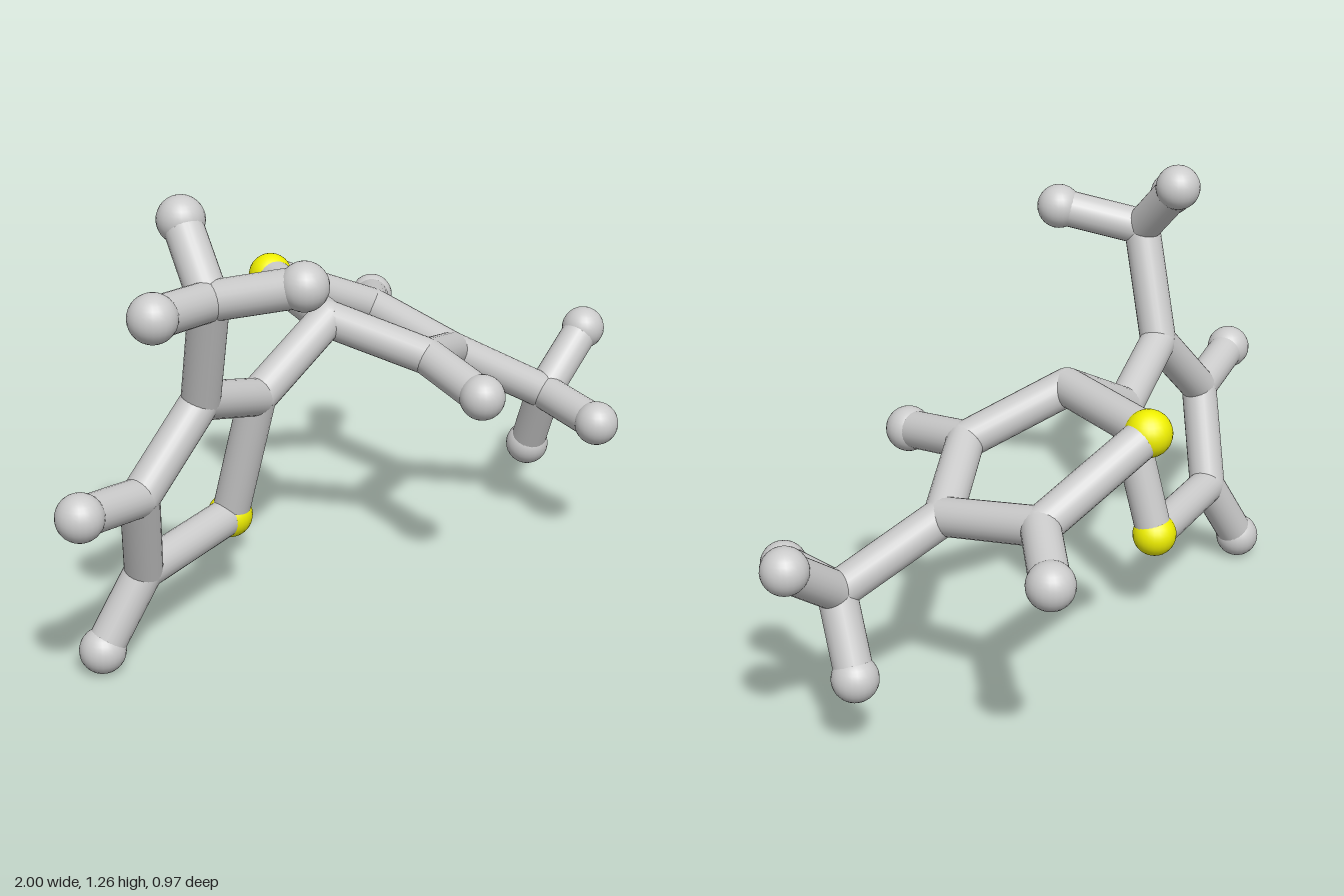
import * as THREE from 'three';

const STICK = 0.051, BALL = 0.062;

// Atom centres; the first letter gives the element (A = left ring side, B = right ring side)
const atoms = {
  // upright ring
  S_A: [-0.23, 0.275, -0.17], C_A2: [-0.225, 0.645, -0.07], C_A3: [-0.5, 0.735, -0.017],
  C_A4: [-0.7, 0.53, -0.045], C_A5: [-0.61, 0.265, -0.13],
  H_A4: [-0.938, 0.57, -0.013], H_A5: [-0.725, 0.065, -0.175],
  // methyl group of the upright ring
  C_AM: [-0.565, 1.04, 0.08], H_AM1: [-0.497, 1.2, -0.072],
  H_AM2: [-0.8, 1.07, 0.117], H_AM3: [-0.457, 1.095, 0.29],
  // flatter ring
  S_B: [0.207, 0.8, -0.395], C_B2: [0.045, 0.793, -0.053], C_B3: [0.245, 0.67, 0.137],
  C_B4: [0.512, 0.585, 0.025], C_B5: [0.53, 0.645, -0.28],
  H_B3: [0.185, 0.627, 0.366], H_B5: [0.705, 0.6, -0.422],
  // methyl group of the flatter ring
  C_BM: [0.742, 0.427, 0.193], H_BM1: [0.938, 0.57, 0.193],
  H_BM2: [0.67, 0.41, 0.422], H_BM3: [0.79, 0.225, 0.108],
};

// Chains of bonded atoms
const chains = [
  ['S_A', 'C_A2', 'C_A3', 'C_A4', 'C_A5', 'S_A'],
  ['S_B', 'C_B2', 'C_B3', 'C_B4', 'C_B5', 'S_B'],
  ['C_A2', 'C_B2'],
  ['C_A4', 'H_A4'], ['C_A5', 'H_A5'], ['C_B3', 'H_B3'], ['C_B5', 'H_B5'],
  ['C_A3', 'C_AM', 'H_AM1'], ['H_AM2', 'C_AM', 'H_AM3'],
  ['C_B4', 'C_BM', 'H_BM1'], ['H_BM2', 'C_BM', 'H_BM3'],
];

export function createModel() {
  const model = new THREE.Group();
  model.name = 'molecule';
  const grey = new THREE.MeshStandardMaterial({ color: 0xcccccc });
  const yellow = new THREE.MeshStandardMaterial({ color: 0xf0f000 });

  // Atoms: carbon only rounds off the joints, the others are larger balls
  const joint = new THREE.SphereGeometry(STICK, 24, 16);
  const ball = new THREE.SphereGeometry(BALL, 24, 16);
  const names = { C: 'carbonJoint', H: 'hydrogenBall', S: 'sulfurBall' };
  for (const [key, position] of Object.entries(atoms)) {
    const element = key[0];
    const mesh = new THREE.Mesh(element === 'C' ? joint : ball, element === 'S' ? yellow : grey);
    mesh.position.set(...position);
    mesh.name = names[element];
    model.add(mesh);
  }

  // Bonds: one cylinder between each neighbouring pair
  const up = new THREE.Vector3(0, 1, 0);
  for (const chain of chains) {
    for (let i = 1; i < chain.length; i++) {
      const a = new THREE.Vector3(...atoms[chain[i - 1]]);
      const b = new THREE.Vector3(...atoms[chain[i]]);
      const along = b.clone().sub(a);
      const bond = new THREE.Mesh(
        new THREE.CylinderGeometry(STICK, STICK, along.length(), 24), grey);
      bond.position.copy(a).lerp(b, 0.5);
      bond.quaternion.setFromUnitVectors(up, along.normalize());
      bond.name = 'bond';
      model.add(bond);
    }
  }
  return model;
}
